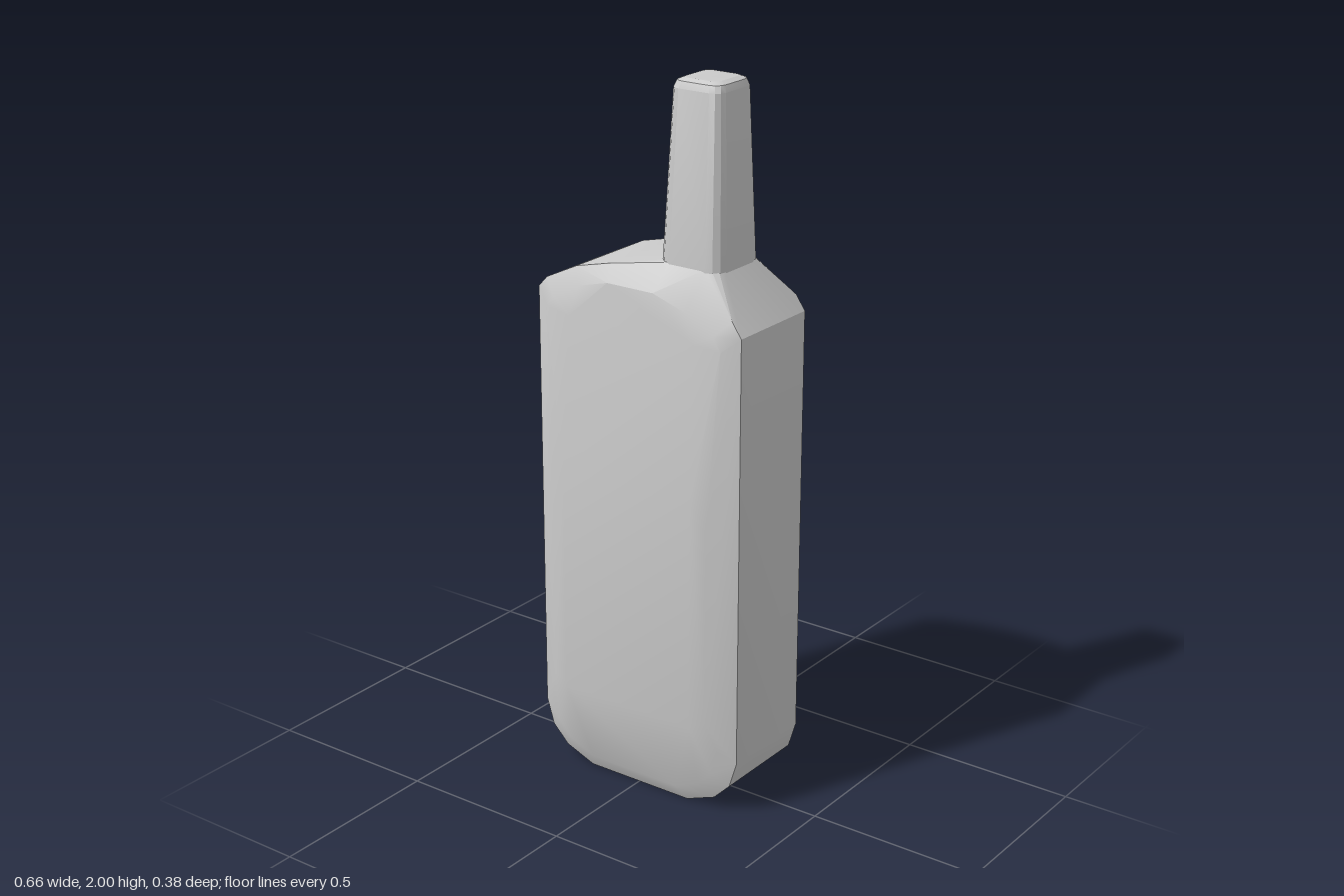
import * as THREE from 'three';
import { ConvexGeometry } from 'three/addons/geometries/ConvexGeometry.js';
import { toCreasedNormals } from 'three/addons/utils/BufferGeometryUtils.js';

const W = 0.328, MID = 0.75;
const v = (x, y, z) => new THREE.Vector3(x, y, z);

function part(name, points) {
  const geometry = toCreasedNormals(new ConvexGeometry(points), 0.4);
  const mesh = new THREE.Mesh(geometry, new THREE.MeshStandardMaterial({ color: 0xcccccc }));
  mesh.name = name;
  return mesh;
}

// Rounded bottom corners and sloping shoulders of the casing
const bottom = [[W, 0.16], [0.305, 0.085], [0.255, 0.035], [0.165, 0]];
const outline = [
  ...bottom, ...bottom.map(([x, y]) => [-x, y]),
  [-W, 1.39], [-0.3, 1.42], [-0.2, 1.468], [-0.09, 1.495],
  [0.08, 1.495], [0.2, 1.46], [0.3, 1.41], [W, 1.37],
];

// One slice of the casing at depth z, drawn in by an inset
const slice = (z, inset) => outline.map(([x, y]) =>
  v(x * (1 - inset / W), MID + (y - MID) * (1 - inset / MID), z));

// Square with rounded corners, lying flat at height y
function roundedSquare(y, x0, x1, z0, z1, r) {
  const points = [];
  for (const sx of [-1, 1]) for (const sz of [-1, 1]) for (let i = 0; i <= 3; i++) {
    const a = i * Math.PI / 6;
    const cx = sx < 0 ? x0 + r : x1 - r, cz = sz < 0 ? z0 + r : z1 - r;
    points.push(v(cx + sx * r * Math.cos(a), y, cz + sz * r * Math.sin(a)));
  }
  return points;
}

export function createModel() {
  const group = new THREE.Group();
  group.name = 'handset';

  // Casing: beveled back, straight sides, gently bulging front panel
  const body = [
    ...slice(-0.188, 0.035), ...slice(-0.178, 0.012), ...slice(-0.16, 0),
    ...slice(0.13, 0), ...slice(0.157, 0.045),
    ...roundedSquare(1.525, 0.055, 0.235, -0.08, 0.11, 0.035),
  ];
  for (const s of [-1, 1]) {
    body.push(v(s * 0.2, 1.34, 0.166), v(s * 0.21, 0.9, 0.187), v(s * 0.21, 0.26, 0.188));
    body.push(v(s * 0.255, 0.85, 0.177), v(s * 0.255, 0.28, 0.178));
  }
  group.add(part('body', body));

  // Tapered aerial with a softened tip
  group.add(part('antenna', [
    ...roundedSquare(1.5, 0.05, 0.241, -0.085, 0.113, 0.04),
    ...roundedSquare(1.53, 0.05, 0.241, -0.085, 0.113, 0.04),
    ...roundedSquare(1.975, 0.076, 0.23, -0.058, 0.097, 0.03),
    ...roundedSquare(1.993, 0.083, 0.224, -0.052, 0.09, 0.03),
    ...roundedSquare(2, 0.1, 0.208, -0.036, 0.075, 0.02),
  ]));
  return group;
}
